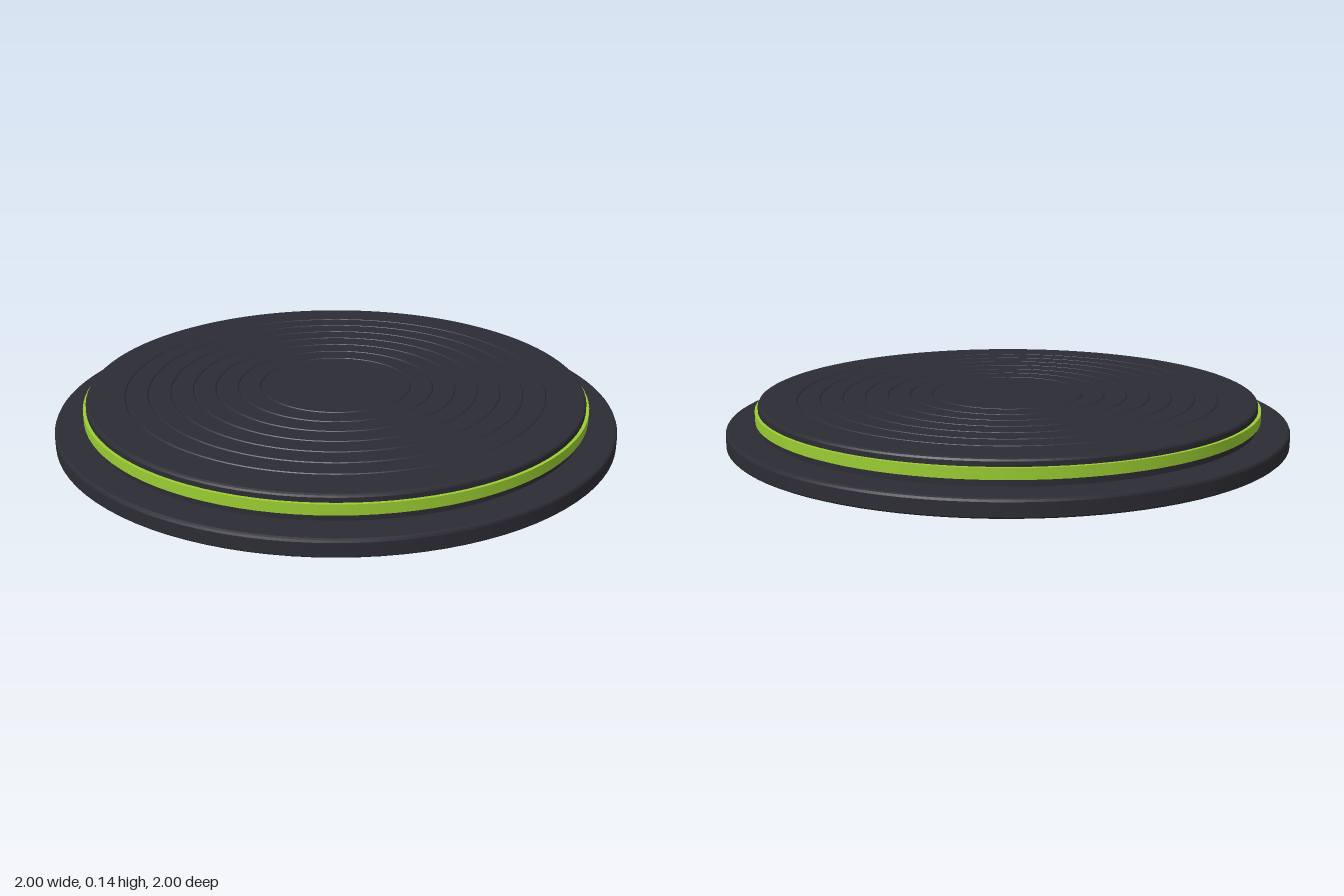
import * as THREE from 'three';
import { toCreasedNormals } from 'three/addons/utils/BufferGeometryUtils.js';

const SEGMENTS = 96;

export function createModel() {
  const group = new THREE.Group();
  group.name = 'discPlatform';

  const dark = new THREE.MeshStandardMaterial({ color: 0x2c2c34, side: THREE.DoubleSide });
  dark.name = 'charcoal';
  const green = new THREE.MeshStandardMaterial({ color: 0x9acd32, side: THREE.DoubleSide });
  green.name = 'limeGreen';

  // Revolves a profile of [radius, height] pairs, running from bottom to top
  const addLathe = (name, profile, material) => {
    const points = profile.map(([r, y]) => new THREE.Vector2(r, y));
    const geometry = toCreasedNormals(new THREE.LatheGeometry(points, SEGMENTS), 0.35);
    const mesh = new THREE.Mesh(geometry, material);
    mesh.name = name;
    group.add(mesh);
  };

  // Wide foot with a bevelled rim, open underneath, and the wall above it
  addLathe('baseFlange', [
    [0.995, 0], [1, 0.005], [1, 0.05], [0.997, 0.057], [0.99, 0.06],
    [0.888, 0.061], [0.888, 0.084],
  ], dark);

  // Raised band around the wall
  addLathe('accentBand', [
    [0.888, 0.084], [0.899, 0.084], [0.899, 0.12], [0.888, 0.12],
  ], green);

  // Top plate with seven fine concentric grooves
  const top = 0.145;
  const plate = [[0.888, 0.12], [0.888, 0.136], [0.885, 0.142], [0.878, top]];
  for (let i = 0; i < 7; i++) {
    const r = 0.75 - i * 0.08;
    plate.push([r + 0.004, top], [r, top - 0.004], [r - 0.004, top]);
  }
  plate.push([0, top]);
  addLathe('topPlate', plate, dark);

  return group;
}
